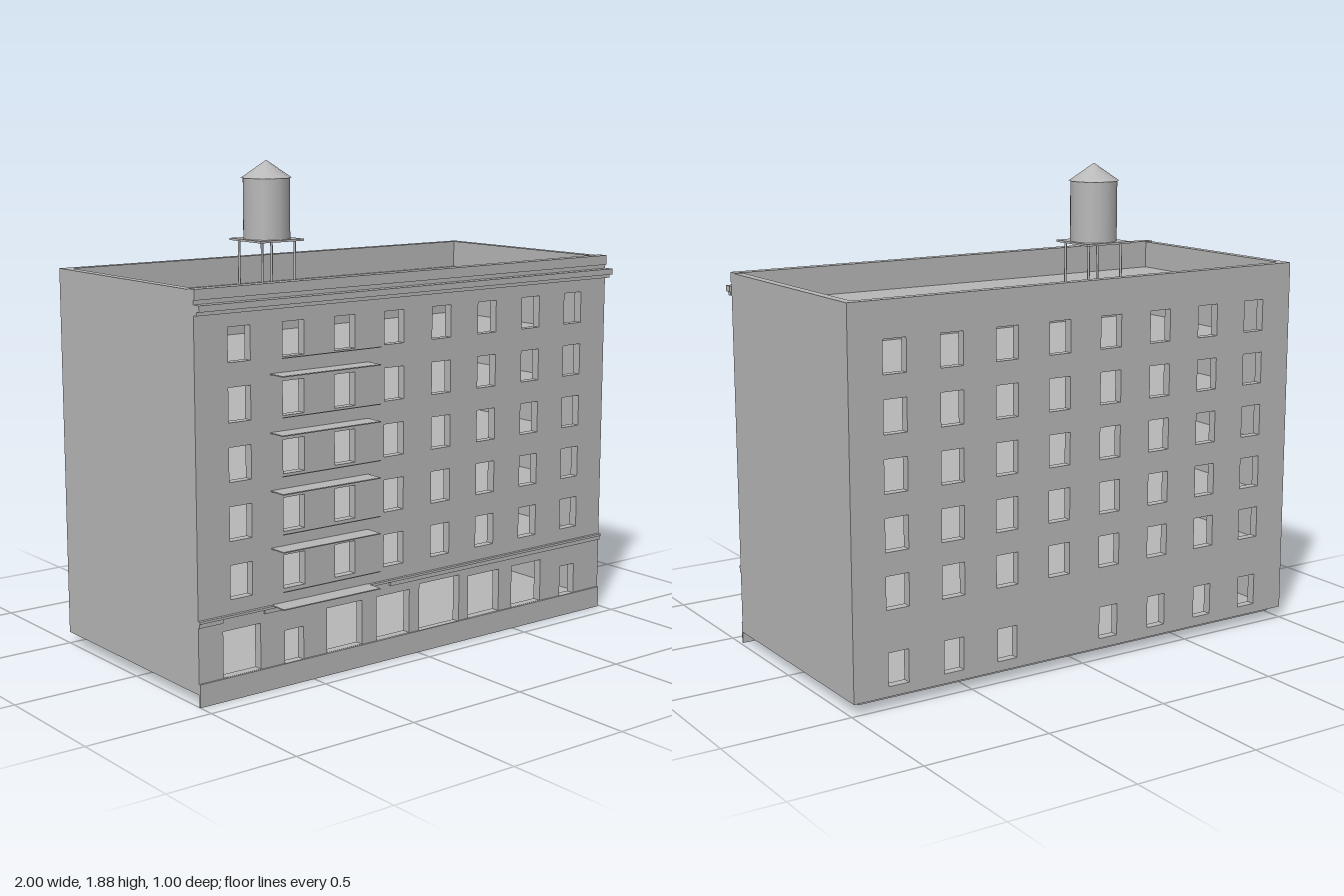
import * as THREE from 'three';

export function createModel() {
  const group = new THREE.Group();
  const stone = new THREE.MeshStandardMaterial({ color: 0xb8b8b8 });
  stone.name = 'stone grey';

  const add = (name, geometry, x = 0, y = 0, z = 0) => {
    const mesh = new THREE.Mesh(geometry, stone);
    mesh.name = name;
    mesh.position.set(x, y, z);
    group.add(mesh);
    return mesh;
  };
  // Box given by its limits on each axis
  const box = (name, x0, x1, y0, y1, z0, z1) =>
    add(name, new THREE.BoxGeometry(x1 - x0, y1 - y0, z1 - z0),
      (x0 + x1) / 2, (y0 + y1) / 2, (z0 + z1) / 2);

  const left = -1, right = 0.99, bottom = 0.045, top = 1.475;
  const back = -0.5, front = 0.425, t = 0.035;
  const storey = 0.2105;

  // Openings as [x0, x1, y0, y1]
  const columns = Array.from({ length: 8 }, (_, i) => -0.815 + i * 0.2317);
  const windows = [];
  for (let row = 0; row < 5; row++)
    for (const x of columns) {
      const y = 0.368 + row * 0.2115;
      windows.push([x - 0.047, x + 0.047, y, y + 0.124]);
    }
  const shopFront = [
    [-0.896, -0.735, 0.086, 0.257], [-0.628, -0.543, 0.083, 0.209],
    [-0.436, -0.27, 0.086, 0.257], [-0.2, -0.04, 0.086, 0.257],
    [0.01, 0.214, 0.081, 0.27], [0.262, 0.425, 0.086, 0.257],
    [0.495, 0.655, 0.086, 0.257], [0.767, 0.847, 0.083, 0.209],
  ];
  const rearGround = columns.filter((_, i) => i !== 4)
    .map((x) => [x - 0.042, x + 0.042, 0.083, 0.209]);

  // Pierced front and back walls
  const rect = (path, x0, x1, y0, y1) => {
    path.moveTo(x0, y0);
    path.lineTo(x1, y0);
    path.lineTo(x1, y1);
    path.lineTo(x0, y1);
    path.closePath();
    return path;
  };
  const wall = (name, z, openings) => {
    const shape = rect(new THREE.Shape(), left, right, bottom, top);
    shape.holes = openings.map((o) => rect(new THREE.Path(), ...o));
    add(name, new THREE.ExtrudeGeometry(shape, { depth: t, bevelEnabled: false }), 0, 0, z);
  };
  wall('frontWall', front - t, [...windows, ...shopFront]);
  wall('backWall', back, [...windows, ...rearGround]);

  // Blank side walls
  box('rightWall', left, left + t, bottom, top, back + t, front - t);
  box('leftWall', right - t, right, bottom, top, back + t, front - t);

  // Ground slab, storey floors and roof
  const slab = (name, y0, y1) => box(name, left + t, right - t, y0, y1, back + t, front - t);
  slab('groundSlab', 0.025, 0.05);
  for (let i = 0; i < 5; i++) slab('storeyFloor', 0.3 + i * storey, 0.318 + i * storey);
  slab('roof', 1.345, 1.365);

  // Plinth, string course, cornice and parapet cap on the front
  box('plinth', left, right, 0, 0.085, front, front + 0.007);
  box('stringCourse', left, right, 0.306, 0.315, front, 0.438);
  for (const [x0, x1] of [[left, -0.9], [-0.72, -0.325], [-0.14, right]])
    box('stringCourseLower', x0, x1, 0.29, 0.306, front, 0.433);
  box('corniceLower', -1, 0.995, 1.388, 1.402, front, 0.445);
  box('corniceUpper', -1, 0.998, 1.402, 1.425, front, 0.459);
  box('parapetCap', left, right, 1.44, 1.478, front - t, 0.431);

  // Fire escape landings with slim rails
  for (let i = 0; i < 5; i++) {
    const y = 0.314 + i * storey;
    box('landing', -0.685, -0.243, y - 0.002, y + 0.002, front, 0.5);
    box('landingRail', -0.685, -0.243, y + 0.064, y + 0.067, 0.497, 0.5);
  }

  // Water tank on four legs
  const tx = -0.283, tz = -0.155;
  for (const sx of [-1, 1])
    for (const sz of [-1, 1])
      add('tankLeg', new THREE.CylinderGeometry(0.005, 0.005, 0.21, 8),
        tx + sx * 0.077, 1.465, tz + sz * 0.077);
  box('tankPlatform', tx - 0.103, tx + 0.103, 1.566, 1.574, tz - 0.103, tz + 0.103);
  add('tank', new THREE.CylinderGeometry(0.092, 0.092, 0.235, 16), tx, 1.691, tz);
  add('tankRoof', new THREE.ConeGeometry(0.099, 0.068, 12), tx, 1.841, tz);

  return group;
}
